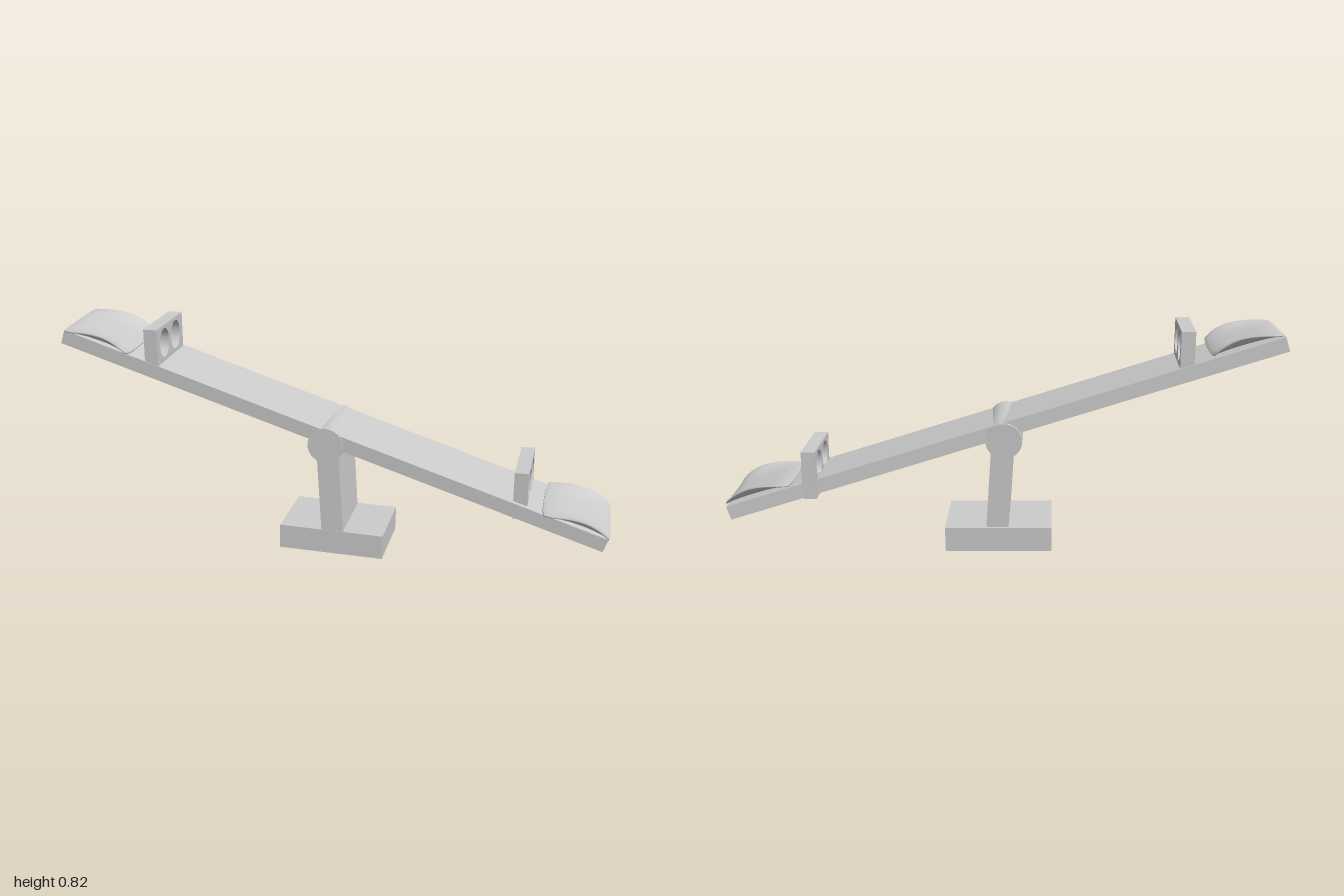
import * as THREE from 'three';
import { mergeVertices } from 'three/addons/utils/BufferGeometryUtils.js';

const grey = new THREE.MeshStandardMaterial({ color: 0xcccccc });

function add(parent, name, geometry, pos, rot = [0, 0, 0]) {
  const mesh = new THREE.Mesh(geometry, grey);
  mesh.name = name;
  mesh.position.set(...pos);
  mesh.rotation.set(...rot);
  parent.add(mesh);
  return mesh;
}

// Saddle seat: a thin padded slab whose long sides curl up off the plank
function seatGeometry() {
  const halfL = 0.126, halfW = 0.15;
  let g = new THREE.BoxGeometry(2, 1, 2, 18, 2, 28);
  const p = g.attributes.position;
  for (let i = 0; i < p.count; i++) {
    const a = p.getX(i), b = p.getZ(i), level = p.getY(i) + 0.5;
    const curl = 0.042 * b ** 4 * (1 - 0.8 * a * a) * (0.85 + 0.3 * a);
    const thick = 0.006 + 0.014 * (1 - a ** 4) * (1 - b ** 4);
    p.setXYZ(i,
      a * halfL * (1 - 0.06 * b ** 4),
      curl + thick * level - 0.001,
      b * halfW * (1 - 0.07 * a ** 6));
  }
  g.deleteAttribute('normal');
  g.deleteAttribute('uv');
  g = mergeVertices(g);
  g.computeVertexNormals();
  return g;
}

// Upright grip panel with two oval hand holes, spanning z and facing x
function gripGeometry(height) {
  const w = 0.255, t = 0.05;
  const shape = new THREE.Shape();
  shape.moveTo(-w / 2, -height).lineTo(w / 2, -height).lineTo(w / 2, 0).lineTo(-w / 2, 0);
  shape.closePath();
  for (const s of [-1, 1]) {
    const hole = new THREE.Path();
    hole.absellipse(s * 0.055, -0.065, 0.045, 0.053, 0, Math.PI * 2, true);
    shape.holes.push(hole);
  }
  const g = new THREE.ExtrudeGeometry(shape, { depth: t, bevelEnabled: false, curveSegments: 32 });
  return g.translate(0, 0, -t / 2).rotateY(Math.PI / 2);
}

export function createModel() {
  const model = new THREE.Group();
  model.name = 'seesaw';

  // Base, leaning post and pivot barrel
  add(model, 'base', new THREE.BoxGeometry(0.385, 0.09, 0.275), [0.002, 0.052, -0.013], [-0.018, 0.01, -0.018]);
  add(model, 'post', new THREE.BoxGeometry(0.08, 0.36, 0.266), [-0.003, 0.25, -0.013], [-0.02, 0.015, 0.06]);
  const barrel = new THREE.CylinderGeometry(0.065, 0.065, 0.28, 32).rotateX(Math.PI / 2);
  add(model, 'pivotBarrel', barrel, [-0.018, 0.427, -0.016], [-0.025, 0.01, 0]);

  // Tilted plank carrying both seats
  const beam = new THREE.Group();
  beam.name = 'beam';
  beam.position.set(-0.005, 0.457, -0.015);
  beam.rotation.set(0.018, 0.02, -0.3135);
  model.add(beam);
  add(beam, 'plank', new THREE.BoxGeometry(2.076, 0.052, 0.266), [0, 0, 0]);
  const seat = seatGeometry();
  add(beam, 'rightSeat', seat, [-0.91, 0.026, 0.015]);
  add(beam, 'leftSeat', seat, [0.917, 0.026, 0.013]);

  // Grip panels stay upright
  add(model, 'rightGrip', gripGeometry(0.17), [-0.655, 0.819, 0.006]);
  add(model, 'leftGrip', gripGeometry(0.175), [0.68, 0.376, -0.045]);

  return model;
}
